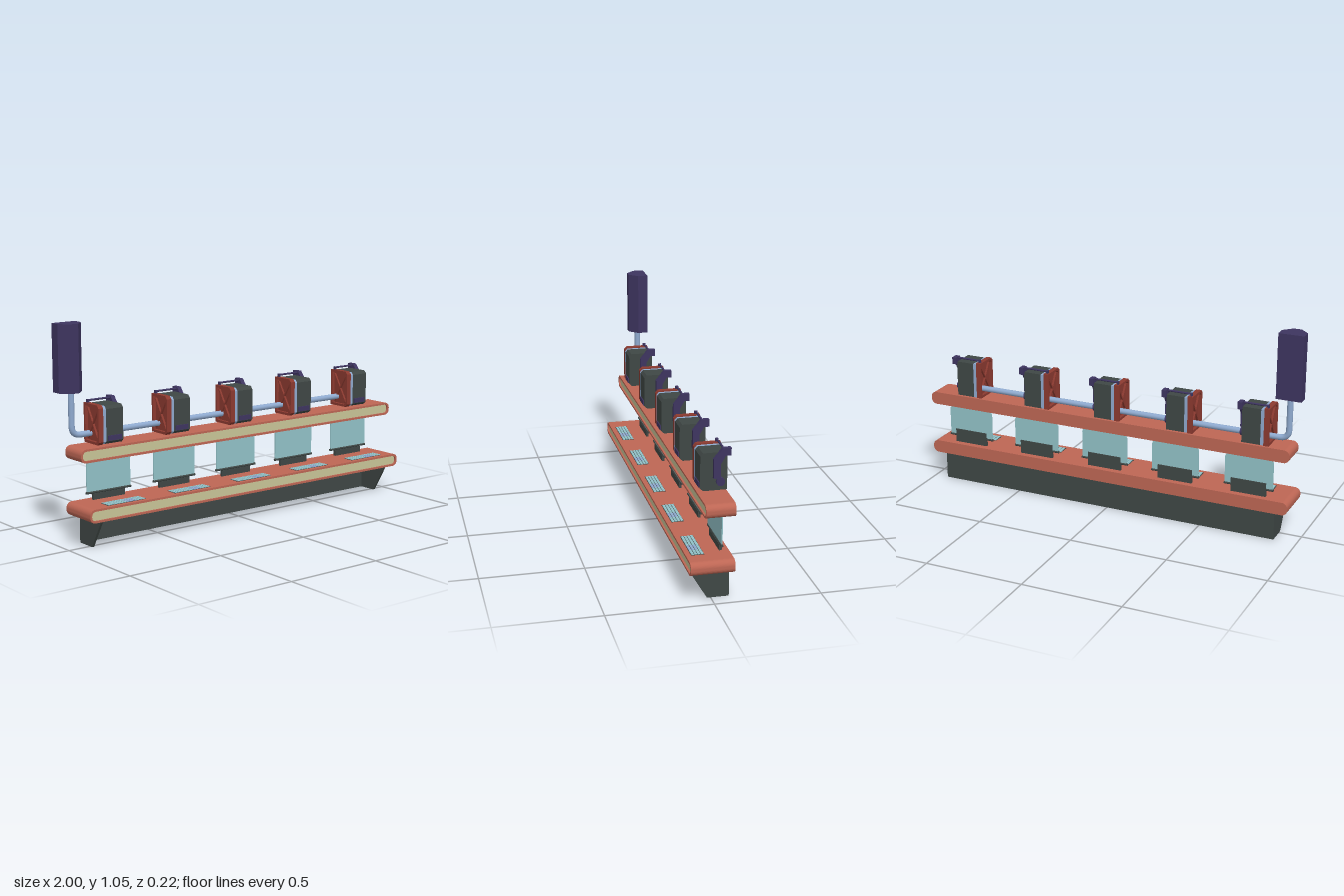
import * as THREE from 'three';

const mat = (name, color) => Object.assign(new THREE.MeshStandardMaterial({ color }), { name });

export function createModel() {
  const root = new THREE.Group();
  root.name = 'serviceCounter';
  const clay = mat('clay', 0xbd6654), brick = mat('brick red', 0x8c3a30), tan = mat('tan', 0xc9c598);
  const glass = mat('pale teal', 0x92c2c8), dark = mat('charcoal', 0x3f4745);
  const purple = mat('dark purple', 0x3e3560), steel = mat('steel blue', 0x8faacf);

  const add = (parent, name, geo, material, x = 0, y = 0, z = 0) => {
    const m = new THREE.Mesh(geo, material);
    m.name = name;
    m.position.set(x, y, z);
    parent.add(m);
    return m;
  };
  const box = (p, name, m, x0, x1, y0, y1, z0, z1) =>
    add(p, name, new THREE.BoxGeometry(x1 - x0, y1 - y0, z1 - z0), m, (x0 + x1) / 2, (y0 + y1) / 2, (z0 + z1) / 2);
  const rod = (p, name, m, x0, x1, y, z, r) =>
    add(p, name, new THREE.CylinderGeometry(r, r, x1 - x0, 20).rotateZ(Math.PI / 2), m, (x0 + x1) / 2, y, z);
  const rounded = (x0, x1, y0, y1, r, path = new THREE.Shape()) => {
    path.moveTo(x0 + r, y0);
    path.lineTo(x1 - r, y0);
    path.absarc(x1 - r, y0 + r, r, -Math.PI / 2, 0);
    path.lineTo(x1, y1 - r);
    path.absarc(x1 - r, y1 - r, r, 0, Math.PI / 2);
    path.lineTo(x0 + r, y1);
    path.absarc(x0 + r, y1 - r, r, Math.PI / 2, Math.PI);
    path.lineTo(x0, y0 + r);
    path.absarc(x0 + r, y0 + r, r, Math.PI, Math.PI * 1.5);
    return path;
  };
  const extrude = (shape, depth) =>
    new THREE.ExtrudeGeometry(shape, { depth, bevelEnabled: false, curveSegments: 6 });
  // Side profile of [z, y] points, extruded along +x
  const outline = (pts, Type = THREE.Shape) => new Type(pts.map(([z, y]) => new THREE.Vector2(-z, y)));
  const alongX = (shape, depth) => extrude(shape, depth).rotateY(Math.PI / 2);

  // Shelves: solid body, raised lip and recessed front strip
  const shelf = (name, y0, z1) => {
    const g = new THREE.Group(), y1 = y0 + 0.065, z0 = -0.095, lip = 0.012;
    g.name = name;
    root.add(g);
    add(g, 'shelfBody', extrude(rounded(-0.95, 1, y0, y1, 0.028), z1 - lip - z0), clay, 0, 0, z0);
    const ring = rounded(-0.95, 1, y0, y1, 0.028);
    ring.holes.push(rounded(-0.94, 0.99, y0 + 0.01, y1 - 0.01, 0.02, new THREE.Path()));
    add(g, 'shelfLip', extrude(ring, lip), clay, 0, 0, z1 - lip);
    add(g, 'frontStrip', extrude(rounded(-0.94, 0.99, y0 + 0.01, y1 - 0.01, 0.02), 0.003), tan, 0, 0, z1 - lip);
  };
  shelf('lowerShelf', 0.14, 0.11);
  shelf('upperShelf', 0.41, 0.042);

  // Base: back panel and tapered end brackets
  box(root, 'backPanel', dark, -0.885, 0.93, 0, 0.14, -0.085, -0.075);
  const bracket = [[0.1, 0.14], [0.017, 0], [-0.085, 0], [-0.085, 0.14]];
  for (const x of [-0.885, 0.918]) add(root, 'endBracket', alongX(outline(bracket), 0.012), dark, x);

  // Pipe with elbow, and the counterweight block on top
  const pipe = new THREE.CurvePath();
  const v = (x, y) => new THREE.Vector3(x, y, -0.062);
  pipe.add(new THREE.LineCurve3(v(-0.933, 0.74), v(-0.933, 0.57)));
  pipe.add(new THREE.QuadraticBezierCurve3(v(-0.933, 0.57), v(-0.933, 0.525), v(-0.888, 0.525)));
  pipe.add(new THREE.LineCurve3(v(-0.888, 0.525), v(0.84, 0.525)));
  add(root, 'pipe', new THREE.TubeGeometry(pipe, 240, 0.0145, 14), steel);
  const plan = [[-1, -0.108], [-0.875, -0.108], [-0.875, -0.057], [-0.917, -0.0125], [-0.957, -0.0125], [-1, -0.057]];
  const block = new THREE.Shape(plan.map(([x, z]) => new THREE.Vector2(x, -z)));
  add(root, 'pipeBlock', extrude(block, 0.32).rotateX(-Math.PI / 2), purple, 0, 0.73);

  // Workstations on the lower shelf: glass screen, stand and keyboard
  for (let i = 0; i < 5; i++) {
    const s = new THREE.Group();
    s.name = 'workstation';
    s.position.x = -0.74 + i * 0.3825;
    root.add(s);
    add(s, 'screen', extrude(rounded(-0.123, 0.123, 0.24, 0.395, 0.015), 0.005), glass, 0, 0, -0.0575);
    rod(s, 'screenRail', dark, -0.126, 0.126, 0.241, -0.055, 0.006);
    box(s, 'stand', dark, -0.09, 0.09, 0.203, 0.275, -0.063, -0.059);
    box(s, 'standFoot', dark, -0.09, 0.09, 0.203, 0.235, -0.06, -0.05);
    for (let r = 0; r < 4; r++) {
      const z = 0.027 + r * 0.0148;
      for (let k = 0; k < 12; k++) {
        const x = -0.095 + k * 0.0175 + r * 0.001;
        const bright = r > 0 && k > 5 && k < 9;
        box(s, 'key', bright ? steel : glass, x, x + 0.0145, 0.204, 0.208, z, z + 0.012);
      }
    }
    box(s, 'keyBed', dark, -0.097, 0.117, 0.204, 0.206, 0.025, 0.086);
  }

  // Housings on the upper shelf, threaded on the pipe
  const body = [[0.016, 0.482], [-0.095, 0.482], [-0.095, 0.662], [0.018, 0.662], [0.03, 0.648], [0.03, 0.495]];
  const cover = [[0.018, 0.48], [-0.095, 0.48], [-0.095, 0.668], [0.018, 0.668], [0.031, 0.654], [0.031, 0.494]];
  const cut = cover.map(([z, y]) => [-0.032 + (z + 0.032) * 0.82, 0.574 + (y - 0.574) * 0.87]);
  const lever = [[-0.028, 0.545], [-0.06, 0.545], [-0.06, 0.612], [-0.082, 0.65], [-0.108, 0.65], [-0.108, 0.686],
    [-0.07, 0.686], [-0.055, 0.666], [-0.028, 0.635]];
  for (let i = 0; i < 5; i++) {
    const h = new THREE.Group();
    h.name = 'housing';
    h.position.x = -0.845 + i * 0.387;
    root.add(h);
    const frame = outline(cover);
    frame.holes.push(outline(cut, THREE.Path));
    add(h, 'coverFrame', alongX(frame, 0.016), brick);
    add(h, 'coverPlate', alongX(outline(cover), 0.01), brick, 0.016);
    for (const a of [-0.9, 0.9]) {
      const rib = box(h, 'coverRib', brick, 0.006, 0.018, 0.49, 0.658, -0.036, -0.029);
      rib.rotation.x = a * 0.6;
    }
    add(h, 'spacerPlate', alongX(outline(body), 0.016), steel, 0.026);
    add(h, 'housingBody', alongX(outline(body), 0.094), dark, 0.042);
    box(h, 'frontLatch', purple, 0.05, 0.125, 0.498, 0.522, 0.028, 0.035);
    // Handle on the open side, joined to the cover by a thin bar
    add(h, 'lever', alongX(outline(lever), 0.022), purple, 0.134);
    rod(h, 'collar', purple, 0.134, 0.15, 0.525, -0.062, 0.02);
    rod(h, 'handleBar', purple, 0.008, 0.15, 0.678, -0.078, 0.005);
    box(h, 'barPost', purple, 0.008, 0.016, 0.66, 0.683, -0.085, -0.07);
  }
  return root;
}
